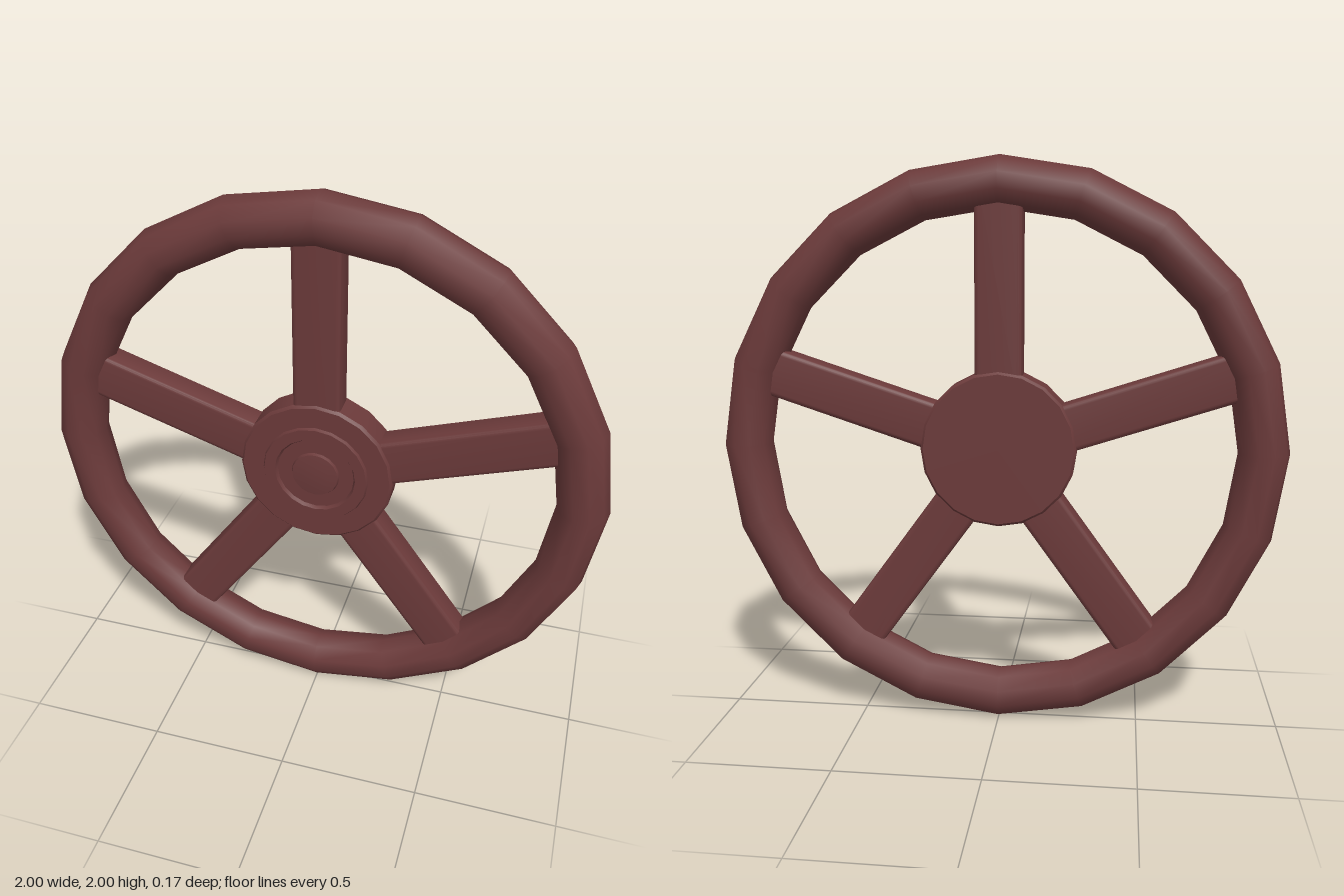
import * as THREE from 'three';
import { toCreasedNormals } from 'three/addons/utils/BufferGeometryUtils.js';

export function createModel() {
  const wheel = new THREE.Group();
  wheel.name = 'wheel';
  const material = new THREE.MeshStandardMaterial({ color: 0x6b3a3a });

  const add = (name, geometry, parent = wheel) => {
    const mesh = new THREE.Mesh(geometry, material);
    mesh.name = name;
    parent.add(mesh);
    return mesh;
  };

  // Rim: twenty straight segments with a ten-sided, smooth section
  add('rim', new THREE.TorusGeometry(0.912, 0.088, 10, 20));

  // Hub: a disc with a raised ring and a central button on its front,
  // given as a (radius, z) profile from back to front
  const profile = [
    [0, -0.057], [0.265, -0.057], [0.274, -0.048], [0.274, 0.048], [0.265, 0.057],
    [0.19, 0.057], [0.185, 0.067], [0.145, 0.067], [0.138, 0.055],
    [0.086, 0.055], [0.082, 0.065], [0.05, 0.069], [0, 0.07],
  ].map(([r, z]) => new THREE.Vector2(r, z));
  const hub = new THREE.LatheGeometry(profile, 20);
  hub.rotateX(Math.PI / 2);
  add('hub', toCreasedNormals(hub, 0.5));

  // Spokes: five soft-edged bars from inside the hub into the rim
  const w = 0.083, d = 0.049, r = 0.018;
  const section = new THREE.Shape();
  section.moveTo(-w + r, -d);
  section.lineTo(w - r, -d);
  section.quadraticCurveTo(w, -d, w, -d + r);
  section.lineTo(w, d - r);
  section.quadraticCurveTo(w, d, w - r, d);
  section.lineTo(-w + r, d);
  section.quadraticCurveTo(-w, d, -w, d - r);
  section.lineTo(-w, -d + r);
  section.quadraticCurveTo(-w, -d, -w + r, -d);
  const bar = new THREE.ExtrudeGeometry(section, { depth: 0.69, bevelEnabled: false, curveSegments: 4 });
  bar.rotateX(-Math.PI / 2).translate(0, 0.2, 0);
  const spokeGeometry = toCreasedNormals(bar, 0.8);
  const spokes = new THREE.Group();
  spokes.name = 'spokes';
  for (let i = 0; i < 5; i++) {
    add('spoke', spokeGeometry, spokes).rotation.z = (i * Math.PI * 2) / 5;
  }
  wheel.add(spokes);

  // Stand the wheel on the ground
  wheel.position.y = 1;
  const model = new THREE.Group();
  model.name = 'spokedWheel';
  model.add(wheel);
  return model;
}
